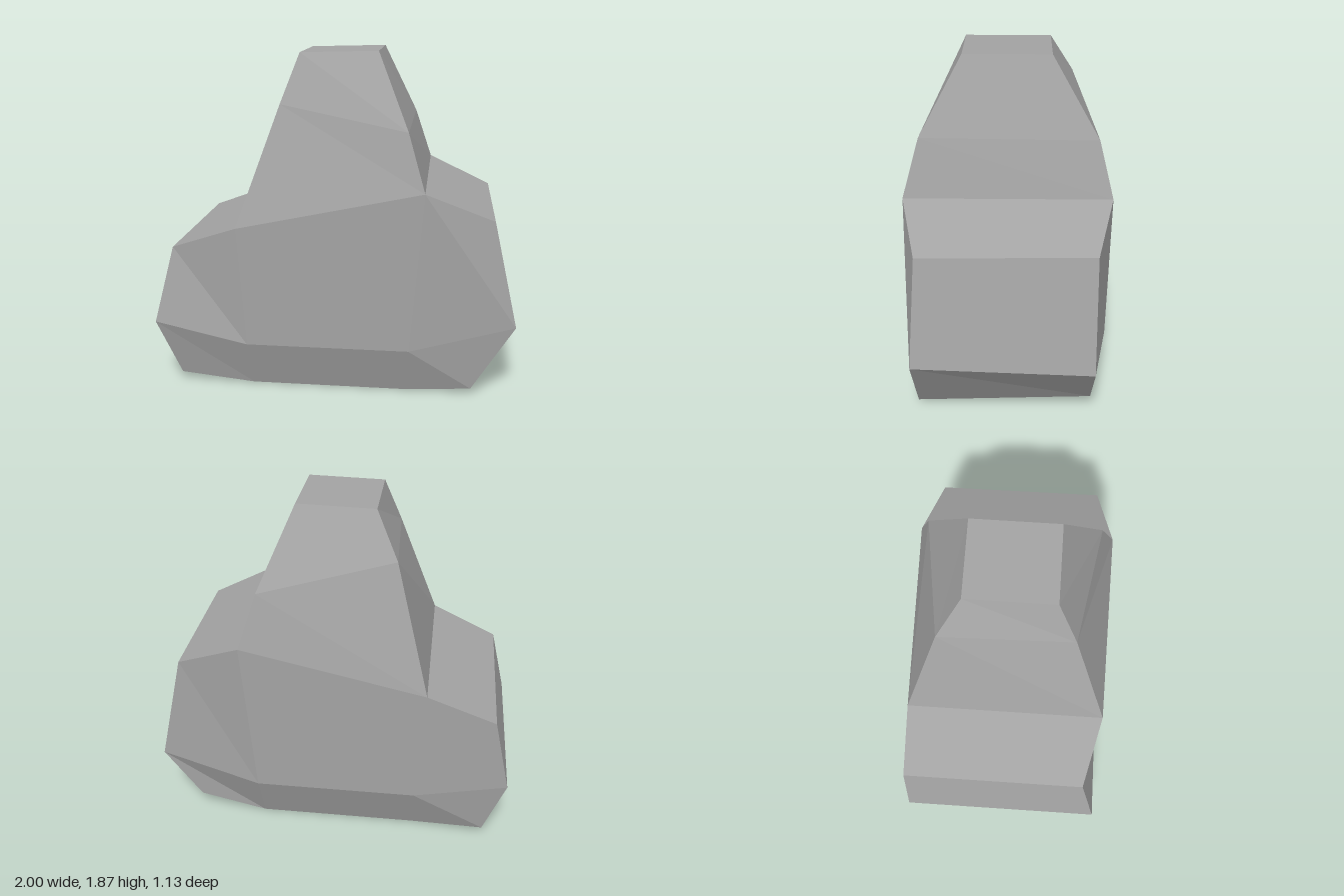
import * as THREE from 'three';

// Front and back corners of each station: [x, y, z] with rows 0 base, 1 widest, 2 shoulder.
// Columns A to D run from -x to +x; L and R are the peak's left and right edges.
const FRONT = {
  A0: [-0.88, 0.045, 0.48], A1: [-1, 0.375, 0.56], A2: [-0.91, 0.79, 0.47],
  B0: [-0.46, 0.003, 0.48], B1: [-0.48, 0.265, 0.565], B2: [-0.53, 0.93, 0.56],
  C0: [0.41, 0.003, 0.48], C1: [0.42, 0.265, 0.565], C2: [0.495, 1.15, 0.565],
  D0: [0.765, 0.033, 0.495], D1: [1, 0.405, 0.505], D2: [0.87, 0.99, 0.475],
  L3: [-0.31, 1.585, 0.36], L4: [-0.215, 1.857, 0.25],
  R3: [0.4, 1.46, 0.48], R4: [0.22, 1.868, 0.25],
};
const BACK = {
  A0: [-0.88, 0.045, -0.525], A1: [-1, 0.375, -0.565], A2: [-0.91, 0.79, -0.565],
  B0: [-0.46, 0, -0.46], B1: [-0.48, 0.265, -0.56], B2: [-0.53, 0.93, -0.565],
  C0: [0.41, 0, -0.46], C1: [0.42, 0.265, -0.56], C2: [0.495, 1.15, -0.565],
  D0: [0.79, 0.085, -0.46], D1: [1, 0.37, -0.465], D2: [0.86, 0.995, -0.47],
  L3: [-0.34, 1.62, -0.37], L4: [-0.215, 1.857, -0.235],
  R3: [0.4, 1.45, -0.49], R4: [0.22, 1.868, -0.235],
};

// Facets shared by the front and the back, and the outline that joins them
const FACETS = [
  'A0 B0 B1 A1', 'B0 C0 C1 B1', 'C0 D0 D1 C1',
  'A1 B1 B2 A2', 'B1 C1 C2 B2', 'C1 D1 D2 C2',
  'B2 C2 R3 L3', 'L3 R3 R4 L4',
].map((s) => s.split(' '));
const OUTLINE = 'A0 B0 C0 D0 D1 D2 C2 R3 R4 L4 L3 B2 A2 A1'.split(' ');

export function createModel() {
  const positions = [];
  const quad = (a, b, c, d) => positions.push(...a, ...b, ...d, ...b, ...c, ...d);

  for (const [a, b, c, d] of FACETS) {
    quad(FRONT[a], FRONT[b], FRONT[c], FRONT[d]);
    quad(BACK[b], BACK[a], BACK[d], BACK[c]);
  }
  // Base, ends, shoulders and peak top
  OUTLINE.forEach((i, n) => {
    const j = OUTLINE[(n + 1) % OUTLINE.length];
    quad(FRONT[i], BACK[i], BACK[j], FRONT[j]);
  });

  const geometry = new THREE.BufferGeometry();
  geometry.setAttribute('position', new THREE.Float32BufferAttribute(positions, 3));
  geometry.computeVertexNormals(); // unshared corners give flat facets

  const stone = new THREE.MeshStandardMaterial({ color: 0xa3a3a3 });
  stone.name = 'stone grey';
  stone.flatShading = true;

  const rock = new THREE.Mesh(geometry, stone);
  rock.name = 'rock';
  const group = new THREE.Group();
  group.name = 'boulder';
  group.add(rock);
  return group;
}
